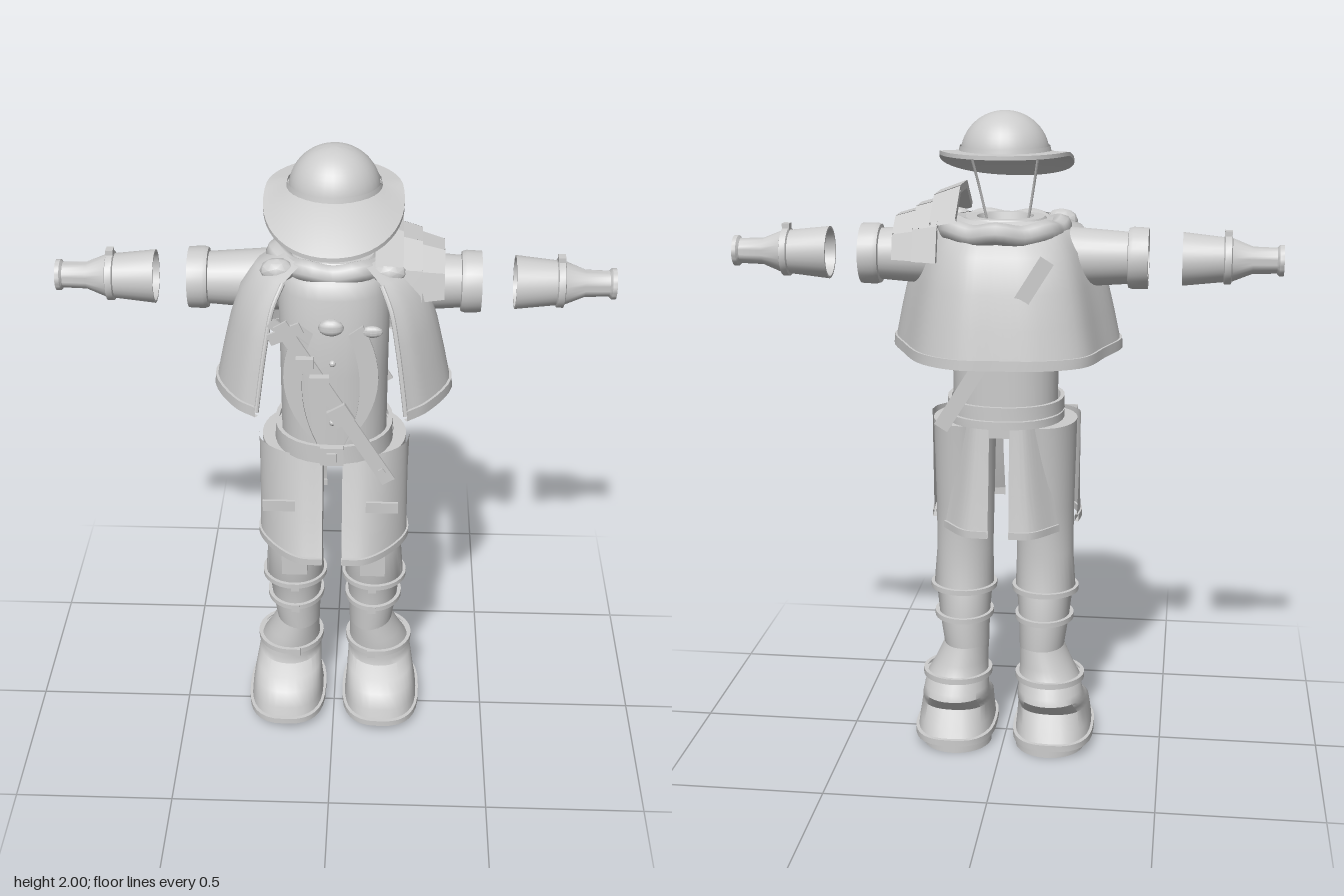
import * as THREE from 'three';
import { toCreasedNormals } from 'three/addons/utils/BufferGeometryUtils.js';

const grey = new THREE.MeshStandardMaterial({ color: 0xcccccc, side: THREE.DoubleSide });
grey.name = 'plain grey';
const V = (x, y, z) => new THREE.Vector3(x, y, z);
const ARM_Y = 1.575, ARM_Z = -0.057;

export function createModel() {
  const root = new THREE.Group();

  const add = (name, geo, x = 0, y = 0, z = 0, crease = 0.6) => {
    const m = new THREE.Mesh(toCreasedNormals(geo, crease), grey);
    m.name = name;
    m.position.set(x, y, z);
    root.add(m);
    return m;
  };

  // Surface through rows of points (all rows the same length)
  const skin = (rows) => {
    const n = rows[0].length, pos = [], idx = [];
    rows.forEach(r => r.forEach(p => pos.push(p.x, p.y, p.z)));
    for (let i = 0; i < rows.length - 1; i++)
      for (let j = 0; j < n - 1; j++) {
        const a = i * n + j, c = a + n;
        idx.push(a, a + 1, c, a + 1, c + 1, c);
      }
    const g = new THREE.BufferGeometry();
    g.setAttribute('position', new THREE.Float32BufferAttribute(pos, 3));
    g.setIndex(idx);
    g.computeVertexNormals();
    return g;
  };

  // Elliptical ring given by its extents in x and z; e < 1 makes it boxier
  const ring = (y, x0, x1, z0, z1, e = 1, n = 32) => Array.from({ length: n + 1 }, (_, i) => {
    const a = (i % n) / n * Math.PI * 2, s = Math.sin(a), c = Math.cos(a);
    const f = v => Math.sign(v) * Math.abs(v) ** e;
    return V((x0 + x1) / 2 + f(s) * (x1 - x0) / 2, y, (z0 + z1) / 2 + f(c) * (z1 - z0) / 2);
  });
  // A section may carry its own boxiness as a sixth value
  const body = (secs, side = 1, e = 1) => skin(secs.map(([y, x0, x1, z0, z1, own = e]) =>
    side > 0 ? ring(y, x0, x1, z0, z1, own) : ring(y, -x1, -x0, z0, z1, own)));
  const band = (name, y, h, x0, x1, z0, z1, side = 1, e = 1, t = 0.012) => add(name, body([
    [y - h, x0, x1, z0, z1], [y - h, x0 - t, x1 + t, z0 - t, z1 + t],
    [y + h, x0 - t, x1 + t, z0 - t, z1 + t], [y + h, x0, x1, z0, z1]], side, e));
  const smooth = (pts, n = 24) => new THREE.CatmullRomCurve3(pts).getPoints(n);
  const tube = (pts, r, closed = false, seg = 48) =>
    new THREE.TubeGeometry(new THREE.CatmullRomCurve3(pts, closed), seg, r, 8, closed);
  const box = (name, w, h, d, x, y, z) => add(name, new THREE.BoxGeometry(w, h, d), x, y, z);
  const flatStrap = (name, x0, y0, x1, y1, z, w, d = 0.008) => {
    const m = box(name, w, Math.hypot(x1 - x0, y1 - y0), d, (x0 + x1) / 2, (y0 + y1) / 2, z);
    m.rotation.z = Math.atan2(x0 - x1, y1 - y0);
    return m;
  };
  // Lathe around the arm axis, pointing outward on the given side
  const armLathe = (name, pts, side, seg = 28, start = 0, len = Math.PI * 2) => {
    const g = new THREE.LatheGeometry(pts.map(p => new THREE.Vector2(p[0], p[1])), seg, start, len);
    g.rotateZ(-side * Math.PI / 2);
    return add(name, g, 0, ARM_Y, ARM_Z);
  };

  // Hat: dome, band and a brim that droops at the front
  const dome = add('hatDome', new THREE.SphereGeometry(0.132, 32, 14, 0, Math.PI * 2, 0, Math.PI / 2), 0, 1.872, -0.035);
  dome.scale.y = 0.97;
  add('hatBand', new THREE.CylinderGeometry(0.134, 0.14, 0.03, 32, 1, true), 0, 1.883, -0.035);
  const brimRow = (t, drop) => ring(0, -0.13 - 0.07 * t, 0.13 + 0.07 * t, -0.165 - 0.06 * t, 0.097 + 0.158 * t, 0.95, 48)
    .map(p => V(p.x, 1.885 - 0.3 * Math.max(0, p.z + 0.06) * t - drop, p.z));
  add('hatBrim', skin([brimRow(0, 0.02), brimRow(0.5, 0.015), brimRow(1, 0.012), brimRow(1, 0),
    brimRow(0.5, 0), brimRow(0, 0)]));
  for (const s of [1, -1])
    add('chinCord', tube([V(s * 0.1, 1.87, -0.05), V(s * 0.085, 1.79, -0.01), V(s * 0.063, 1.67, 0.03)], 0.004, false, 8));

  // Torso with sloping shoulders and a hollow neck
  add('torso', body([[1.05, 0, 0, -0.01, -0.01], [1.05, -0.16, 0.16, -0.16, 0.137], [1.35, -0.162, 0.162, -0.162, 0.14],
    [1.6, -0.165, 0.165, -0.165, 0.14], [1.64, -0.155, 0.155, -0.16, 0.125], [1.69, -0.118, 0.118, -0.135, 0.08],
    [1.69, -0.085, 0.085, -0.105, 0.055], [1.63, -0.07, 0.07, -0.09, 0.04], [1.63, 0, 0, -0.02, -0.02]], 1, 0.85));
  for (const y of [1.2, 1.3, 1.4, 1.5]) add('button', new THREE.SphereGeometry(0.01, 10, 8), 0, y, 0.141);
  band('belt', 1.11, 0.026, -0.168, 0.168, -0.17, 0.165, 1, 0.9);
  band('lowerBelt', 1.085, 0.012, -0.17, 0.17, -0.19, 0.16, 1, 0.9);
  box('beltBuckle', 0.07, 0.06, 0.02, 0, 1.11, 0.183);
  box('beltTongue', 0.03, 0.03, 0.01, 0, 1.11, 0.196);

  // Cape: open at the front, rounded over the shoulders, slightly uneven at the back
  const hem = smooth([[0.215, 0.262], [0.275, 0.205], [0.348, 0.05], [0.293, -0.12], [0.215, -0.265], [0.11, -0.33],
    [0, -0.33], [-0.125, -0.322], [-0.25, -0.26], [-0.303, -0.12], [-0.348, 0.05], [-0.275, 0.205], [-0.215, 0.255]]
    .map(([x, z]) => V(x, 0, z)), 56);
  const capeRow = (s, y) => hem.map(p => V(p.x * s, y, (p.z + 0.04) * s - 0.04));
  const capeSteps = [[1, 1.3], [0.94, 1.4], [0.872, 1.5], [0.78, 1.6], [0.65, 1.66], [0.42, 1.69]];
  add('cape', skin(capeSteps.map(r => capeRow(...r))), 0, 0, 0, 1);
  add('capeHem', skin([capeRow(0.98, 1.315), capeRow(1.012, 1.315), capeRow(1.018, 1.285), capeRow(0.98, 1.285)]));
  for (const i of [0, hem.length - 1])
    add('capeFrontEdge', tube(capeSteps.slice(0, 5).map(r => capeRow(...r)[i]), 0.007, false, 16));

  // Rolled scarf around the neck with two knots
  const scarf = [];
  for (let i = 0; i < 14; i++) {
    const a = i / 14 * Math.PI * 2, w = i % 2 ? 0.008 : -0.004;
    scarf.push(V(Math.sin(a) * (0.165 + w), 1.66 + w, -0.075 + Math.cos(a) * (0.165 + w)));
  }
  add('scarf', tube(scarf, 0.032, true, 56), 0, 0, 0, 1);
  for (const s of [1, -1]) {
    add('scarfKnot', new THREE.IcosahedronGeometry(0.042, 1), s * 0.16, 1.665, 0.075).scale.set(1.2, 0.85, 0.9);
    // Hanging crescent ends of the scarf
    const c = new THREE.Shape();
    c.moveTo(s * 0.09, 1.59);
    c.quadraticCurveTo(s * 0.2, 1.38, s * 0.04, 1.2);
    c.quadraticCurveTo(s * 0.12, 1.38, s * 0.05, 1.56);
    c.closePath();
    add('scarfTail', new THREE.ExtrudeGeometry(c, { depth: 0.008, bevelEnabled: false }), 0, 0, 0.258);
    add('tailStud', new THREE.SphereGeometry(0.022, 12, 8), s * 0.115, 1.57, 0.26).scale.set(1.4, 0.8, 0.5);
  }
  add('brooch', new THREE.SphereGeometry(0.036, 18, 12), 0, 1.57, 0.24).scale.set(1, 0.7, 0.5);

  // Loose shoulder strap with buckles, front and back, and hip tabs
  flatStrap('frontStrap', -0.14, 1.61, 0.17, 1.1, 0.3, 0.042);
  flatStrap('crossStrap', -0.17, 1.56, -0.08, 1.6, 0.3, 0.035);
  flatStrap('shoulderStrap', -0.165, 1.61, -0.07, 1.53, 0.29, 0.03);
  flatStrap('backStrap', -0.15, 1.6, 0.16, 1.1, -0.29, 0.045);
  flatStrap('strapBuckle', 0.015, 1.35, 0.045, 1.3, 0.308, 0.06, 0.014);
  flatStrap('strapStud', 0.145, 1.145, 0.155, 1.13, 0.306, 0.015);
  box('pouch', 0.055, 0.05, 0.022, -0.03, 1.435, 0.322);
  box('pouchUpper', 0.05, 0.035, 0.022, -0.07, 1.5, 0.322);
  for (const s of [1, -1]) box('hipTab', 0.095, 0.036, 0.008, s * 0.152, 1.01, 0.305);

  // Segmented armour on the left shoulder: a short upper tier over two full ones
  for (const [x0, x1, r0, r1, first, last] of [[0.12, 0.2, 0.226, 0.195, 1, 3],
    [0.18, 0.255, 0.18, 0.158, 0, 4], [0.24, 0.32, 0.15, 0.125, 0, 4]])
    for (let k = first; k <= last; k++)
      armLathe('shoulderPlate', [[r0 - 0.025, x0], [r0, x0], [r1, x1], [r1 - 0.025, x1], [r0 - 0.025, x0]], 1, 1,
        Math.PI * (1 + k / 5) + 0.01, Math.PI / 5 - 0.02);

  for (const s of [1, -1]) {
    // Upper sleeves and separate hollow forearms
    armLathe('upperSleeve', [[0.095, 0.14], [0.088, 0.22], [0.077, 0.37], [0.088, 0.372], [0.092, 0.385],
      [0.09, 0.43], [0.07, 0.43], [0.066, 0.33]], s);
    armLathe('forearm', [[0.062, 0.6], [0.072, 0.53], [0.079, 0.53], [0.066, 0.65], [0.073, 0.653], [0.073, 0.672],
      [0.064, 0.675], [0.04, 0.735], [0.038, 0.805], [0.046, 0.812], [0.046, 0.825], [0.03, 0.825], [0.028, 0.74]], s);
    box('wristBuckle', 0.022, 0.022, 0.03, s * 0.662, 1.65, ARM_Z);

    // Trouser leg flowing down into a flared boot with a broad toe
    add('leg', body([[0.33, 0.05, 0.19, -0.145, 0.035], [0.43, 0.047, 0.205, -0.148, 0.042],
      [0.515, 0.04, 0.215, -0.135, 0.045], [0.53, 0.035, 0.224, -0.132, 0.05], [0.65, 0.038, 0.215, -0.122, 0.058],
      [0.8, 0.035, 0.216, -0.13, 0.075], [1.07, 0.03, 0.222, -0.16, 0.115], [1.07, 0.1, 0.1, -0.02, -0.02]], s));
    add('boot', body([[0.03, 0.15, 0.15, -0.02, -0.02], [0.03, 0.035, 0.28, -0.2, 0.16, 0.75],
      [0.08, 0.04, 0.275, -0.175, 0.145, 0.75], [0.13, 0.043, 0.268, -0.15, 0.125, 0.8],
      [0.155, 0.045, 0.262, -0.178, 0.085, 0.85], [0.18, 0.047, 0.256, -0.206, 0.035, 0.95],
      [0.2, 0.048, 0.252, -0.2, 0.03], [0.24, 0.05, 0.242, -0.172, 0.033], [0.28, 0.052, 0.218, -0.158, 0.035],
      [0.34, 0.05, 0.19, -0.145, 0.035]], s), 0, 0, 0, 0.75);
    band('bootWelt', 0.04, 0.01, 0.04, 0.275, -0.195, 0.155, s, 0.75);
    const heel = add('heel', new THREE.CylinderGeometry(0.11, 0.11, 0.03, 24, 1, false, Math.PI / 2, Math.PI), s * 0.15, 0.015, -0.075);
    heel.scale.z = 1.05;
    band('bootStrap', 0.24, 0.009, 0.05, 0.245, -0.172, 0.033, s);
    band('calfStrap', 0.435, 0.008, 0.047, 0.208, -0.148, 0.043, s);
    band('kneeStrap', 0.525, 0.008, 0.037, 0.222, -0.134, 0.05, s);
    for (const [y, z] of [[0.24, 0.046], [0.435, 0.057], [0.525, 0.064]])
      box('strapBuckle', 0.026, 0.028, 0.01, s * 0.125, y, z);
    box('kneePad', 0.08, 0.1, 0.03, s * 0.125, 0.635, 0.06);

    // Skirt panels: a wide front one and a narrow back one, each with a raised hem
    const panel = (name, top, low) => {
      const curve = pts => smooth(pts.map(p => V(s * p[0], 0, p[1])));
      const t = curve(top), l = curve(low);
      const at = (k, y, out = 0) => t.map((p, i) => {
        const q = p.clone().lerp(l[i], k).multiplyScalar(1 + out);
        q.y = y;
        return q;
      });
      add(name, skin([at(1, 0.75), at(0.55, 0.87), at(0, 1.08)]), 0, 0, 0, 0.9);
      add(name + 'Hem', skin([at(1, 0.76, -0.03), at(1, 0.76, 0.025), at(1, 0.738, 0.025), at(1, 0.738, -0.03), at(1, 0.76, -0.03)]));
    };
    panel('frontSkirt', [[0.03, 0.13], [0.1, 0.132], [0.17, 0.105], [0.222, 0.05], [0.232, 0.0]],
      [[0.03, 0.225], [0.1, 0.218], [0.175, 0.155], [0.228, 0.06], [0.225, -0.03]]);
    panel('backSkirt', [[0.03, -0.188], [0.075, -0.18], [0.125, -0.13]],
      [[0.032, -0.225], [0.1, -0.215], [0.175, -0.13]]);
  }
  // Strip joining the two back skirt panels above the slit
  box('backSkirtJoin', 0.064, 0.035, 0.008, 0, 1.062, -0.188);
  return root;
}
